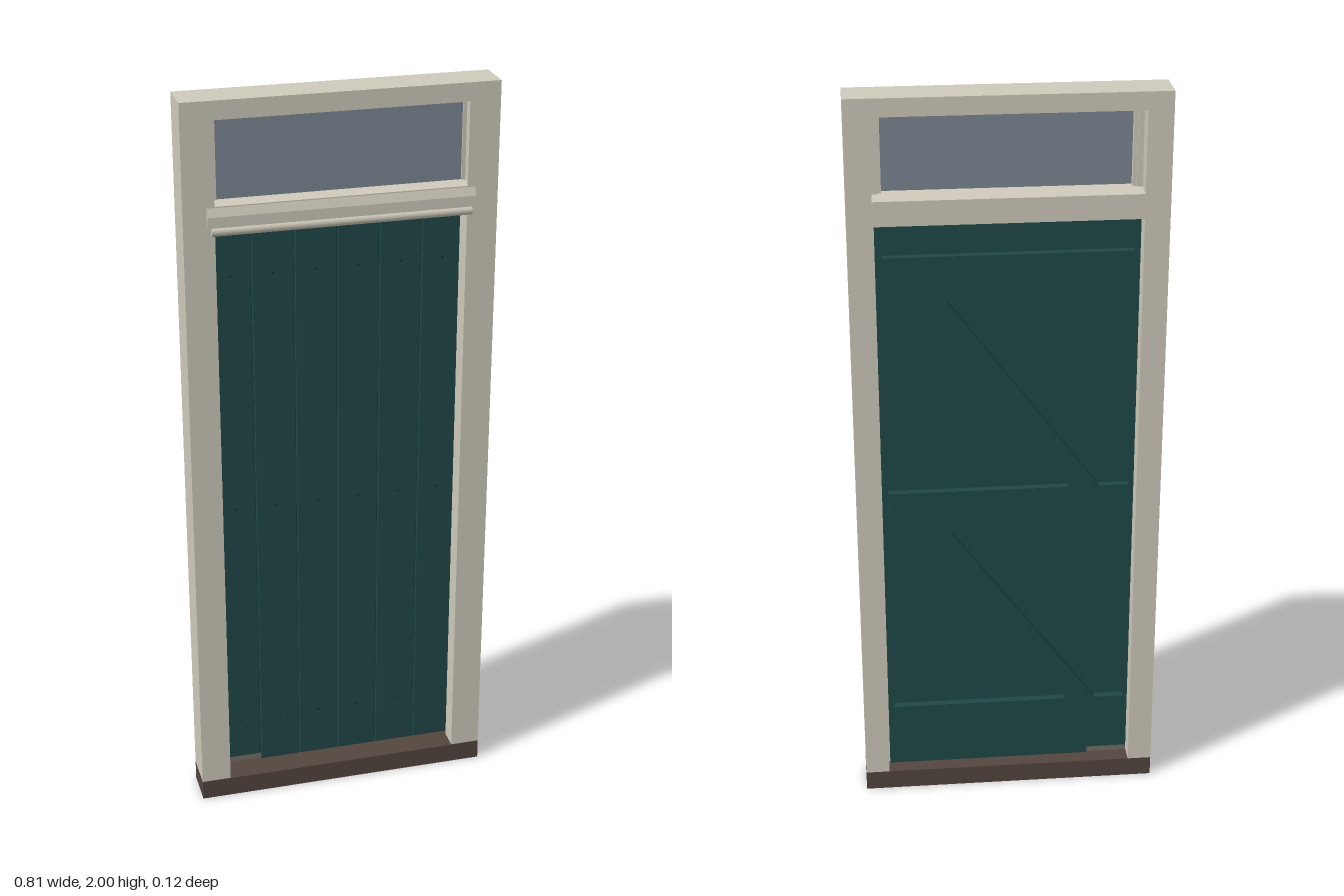
import * as THREE from 'three';

const mat = (color) => new THREE.MeshStandardMaterial({ color });
const cream = mat(0xcfcabb), teal = mat(0x1f4848), darkTeal = mat(0x163434);
const brown = mat(0x53463f), glassGrey = mat(0x7c8894), metal = mat(0x77706a);

export function createModel() {
  const model = new THREE.Group();

  const add = (name, geometry, material, parent = model) => {
    const mesh = new THREE.Mesh(geometry, material);
    mesh.name = name;
    parent.add(mesh);
    return mesh;
  };
  // box given by its limits on each axis
  const box = (name, [x0, x1], [y0, y1], [z0, z1], material, parent) => {
    const m = add(name, new THREE.BoxGeometry(x1 - x0, y1 - y0, z1 - z0), material, parent);
    m.position.set((x0 + x1) / 2, (y0 + y1) / 2, (z0 + z1) / 2);
    return m;
  };
  const extrude = (pts, depth) => new THREE.ExtrudeGeometry(
    new THREE.Shape(pts.map(([x, y]) => new THREE.Vector2(x, y))), { depth, bevelEnabled: false });
  // plan outline (x, z) raised from y0 to y1
  const upright = (name, pts, y0, y1, material, parent) => {
    const g = extrude(pts.map(([x, z]) => [x, -z]), y1 - y0);
    g.rotateX(-Math.PI / 2).translate(0, y0, 0);
    return add(name, g, material, parent);
  };
  // side outline (z, y) run along x between -half and half
  const rail = (name, pts, half, material, parent) => {
    const g = extrude(pts.map(([z, y]) => [-z, y]), half * 2);
    g.rotateY(Math.PI / 2).translate(-half, 0, 0);
    return add(name, g, material, parent);
  };

  const back = -0.06, front = 0.045, stop = -0.01;

  // Outer frame: sill, head and rebated jambs
  box('sill', [-0.405, 0.405], [0, 0.055], [back, 0.047], brown);
  box('head', [-0.405, 0.405], [1.953, 2], [back, front], cream);
  for (const s of [-1, 1]) {
    const pts = [[0.405, back], [0.405, front], [0.325, front], [0.325, stop], [0.34, stop], [0.34, back]];
    upright(s < 0 ? 'rightJamb' : 'leftJamb', pts.map(([x, z]) => [x * s, z]), 0.055, 1.953, cream);
  }

  // Transom rail, rebated for the door below
  rail('transom', [[back, 1.675], [stop, 1.675], [stop, 1.66], [front, 1.66],
    [front, 1.735], [0.02, 1.745], [back, 1.74]], 0.34, cream);

  // Weather moulding with a rounded nosing beneath
  const drip = new THREE.Group();
  drip.name = 'weatherMoulding';
  model.add(drip);
  rail('mouldingBoard', [[0.04, 1.68], [0.053, 1.68], [0.053, 1.71], [0.044, 1.735], [0.04, 1.735]],
    0.345, cream, drip);
  const nosing = add('mouldingNosing', new THREE.CylinderGeometry(0.012, 0.012, 0.67, 16), cream, drip);
  nosing.rotation.z = Math.PI / 2;
  nosing.position.set(0, 1.672, 0.047);

  // Fanlight: glass and beads
  const fanlight = new THREE.Group();
  fanlight.name = 'fanlight';
  model.add(fanlight);
  box('glass', [-0.33, 0.33], [1.74, 1.953], [0.012, 0.018], glassGrey, fanlight);
  for (const s of [-1, 1]) {
    const a = 0.315 * s, b = 0.34 * s;
    box('sideBead', [Math.min(a, b), Math.max(a, b)], [1.74, 1.953], [-0.005, 0.022], cream, fanlight);
  }
  box('topBead', [-0.315, 0.315], [1.945, 1.953], [-0.005, 0.022], cream, fanlight);

  // Door planks with chamfered front edges
  const door = new THREE.Group();
  door.name = 'door';
  model.add(door);
  const w = 0.112, c = 0.003, zf = -0.011, zb = -0.033;
  for (let i = 0; i < 6; i++) {
    const x0 = -0.336 + i * w, x1 = x0 + w;
    upright('plank', [[x0, zb], [x1, zb], [x1, zf - c], [x1 - c, zf], [x0 + c, zf], [x0, zf - c]],
      i ? 0.066 : 0.085, 1.672, teal, door);
  }
  box('plankFoot', [-0.336, -0.224], [0.068, 0.085], [-0.031, -0.013], metal, door);

  // Ledges across the back, with nail heads on the front
  for (const y of [0.205, 0.87, 1.53]) {
    box('ledge', [-0.32, 0.32], [y - 0.06, y + 0.06], [-0.053, zb], teal, door);
    for (let i = 0; i < 6; i++) {
      const nail = add('nail', new THREE.CylinderGeometry(0.004, 0.004, 0.003, 10), darkTeal, door);
      nail.rotation.x = Math.PI / 2;
      nail.position.set(-0.28 + i * w, y, zf + 0.0005);
    }
  }

  // Diagonal braces between the ledges
  for (const [y0, y1] of [[0.265, 0.81], [0.93, 1.47]]) {
    const g = extrude([[-0.24, y0], [-0.16, y0], [0.24, y1], [0.16, y1]], 0.02);
    add('brace', g, teal, door).position.z = -0.053;
  }

  return model;
}
